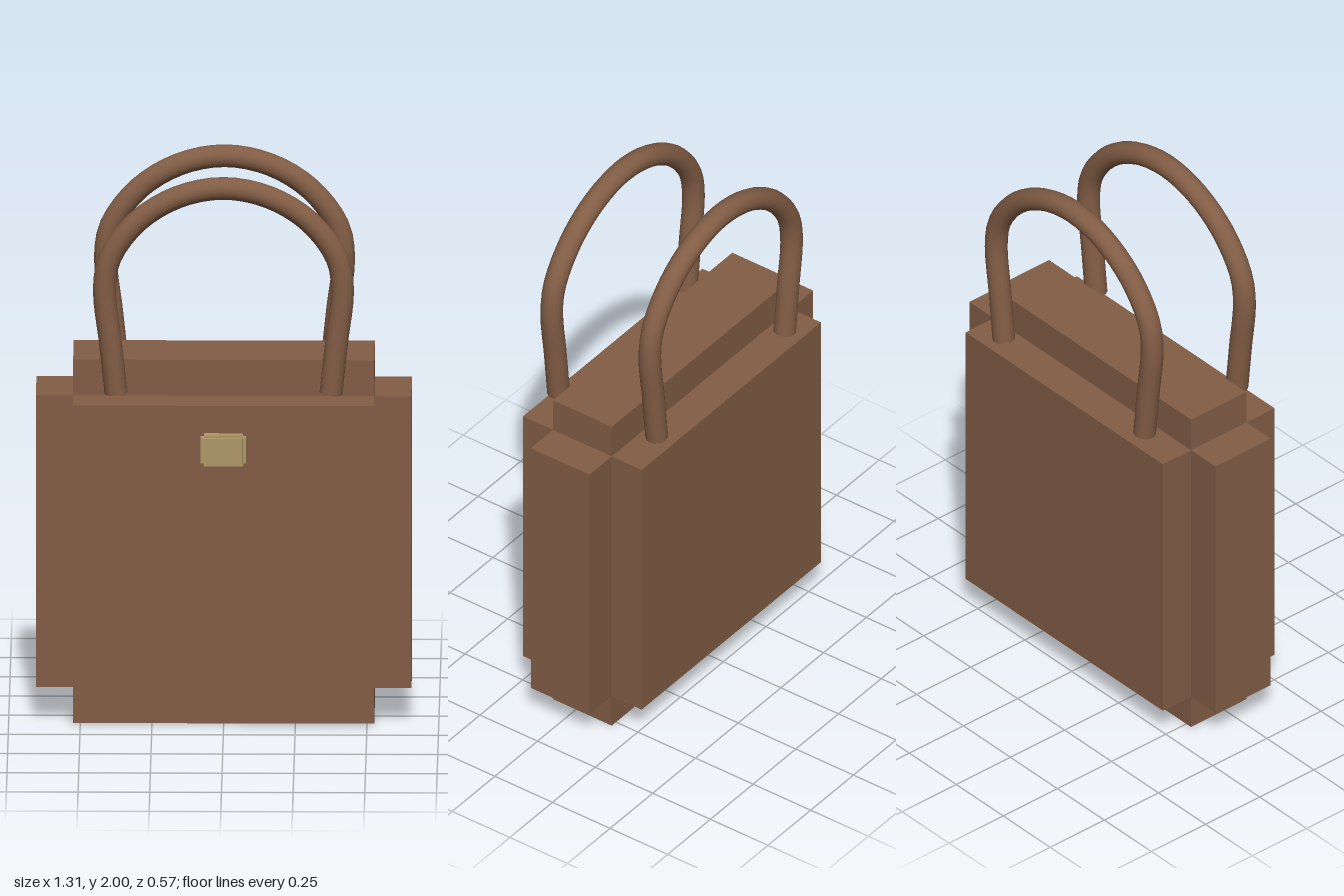
import * as THREE from 'three';

const leather = new THREE.MeshStandardMaterial({ color: 0x825d45, side: THREE.DoubleSide });
const brass = new THREE.MeshStandardMaterial({ color: 0xb09868 });

// Three crossed slabs: each one reaches out by `step` along a single axis.
function steppedBox(name, [w, h, d], step, material) {
  const group = new THREE.Group();
  group.name = name;
  ['Width', 'Height', 'Depth'].forEach((label, axis) => {
    const size = [w, h, d].map((s, i) => (i === axis ? s : s - 2 * step[i]));
    const slab = new THREE.Mesh(new THREE.BoxGeometry(...size), material);
    slab.name = name + label + 'Slab';
    group.add(slab);
  });
  return group;
}

// Horseshoe strap that narrows slightly toward the bag
function handleGeometry() {
  const half = [[0.375, 1.22], [0.394, 1.4], [0.415, 1.6], [0.395, 1.71], [0.3, 1.84], [0.16, 1.928]];
  const points = [
    ...half.map(([x, y]) => new THREE.Vector3(-x, y, 0)),
    new THREE.Vector3(0, 1.96, 0),
    ...half.map(([x, y]) => new THREE.Vector3(x, y, 0)).reverse(),
  ];
  return new THREE.TubeGeometry(new THREE.CatmullRomCurve3(points), 48, 0.04, 16);
}

export function createModel() {
  const bag = new THREE.Group();
  bag.name = 'handbag';

  // Body
  const body = steppedBox('body', [1.31, 1.315, 0.515], [0.13, 0.13, 0.13], leather);
  body.position.set(0, 0.6575, -0.0275);
  bag.add(body);

  // Clasp on the front
  const clasp = steppedBox('clasp', [0.16, 0.112, 0.052], [0.012, 0.01, 0.012], brass);
  clasp.position.set(0, 1.034, 0.259);
  bag.add(clasp);

  // Front and back handles
  const strap = handleGeometry();
  for (const [name, z] of [['frontHandle', 0.187], ['backHandle', -0.239]]) {
    const handle = new THREE.Mesh(strap, leather);
    handle.name = name;
    handle.position.z = z;
    bag.add(handle);
  }
  return bag;
}
